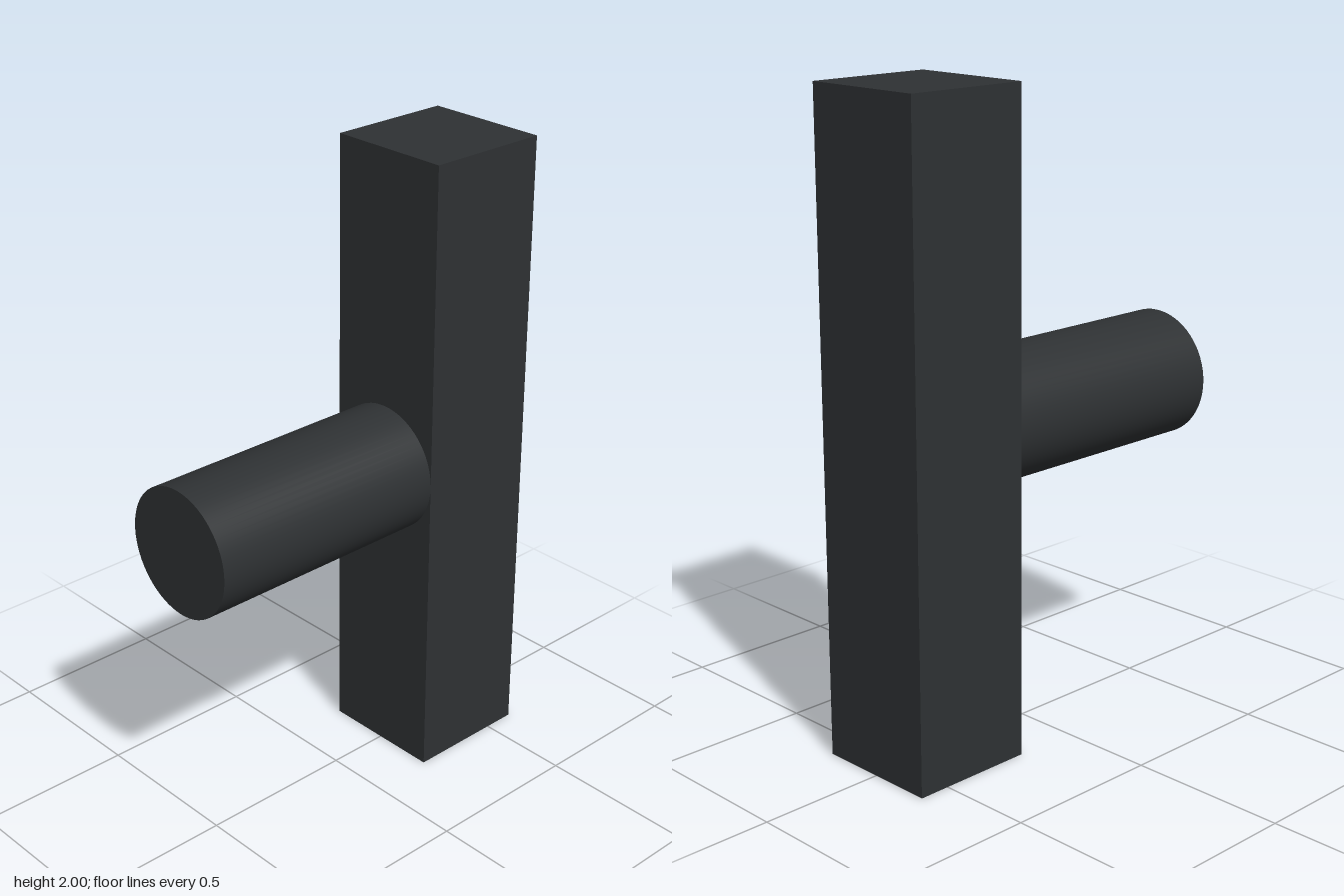
import * as THREE from 'three';

export function createModel() {
  const group = new THREE.Group();
  const material = new THREE.MeshStandardMaterial({ color: 0x2e3133 });

  // Upright square grip bar
  const bar = new THREE.Mesh(new THREE.BoxGeometry(0.4, 2, 0.4), material);
  bar.name = 'handleBar';
  bar.position.set(0.4, 1, 0);
  group.add(bar);

  // Round stem standing out from the middle of the bar
  const stem = new THREE.Mesh(new THREE.CylinderGeometry(0.2, 0.2, 0.8, 64), material);
  stem.name = 'stem';
  stem.rotation.z = Math.PI / 2;
  stem.position.set(-0.2, 1, 0);
  group.add(stem);

  return group;
}
